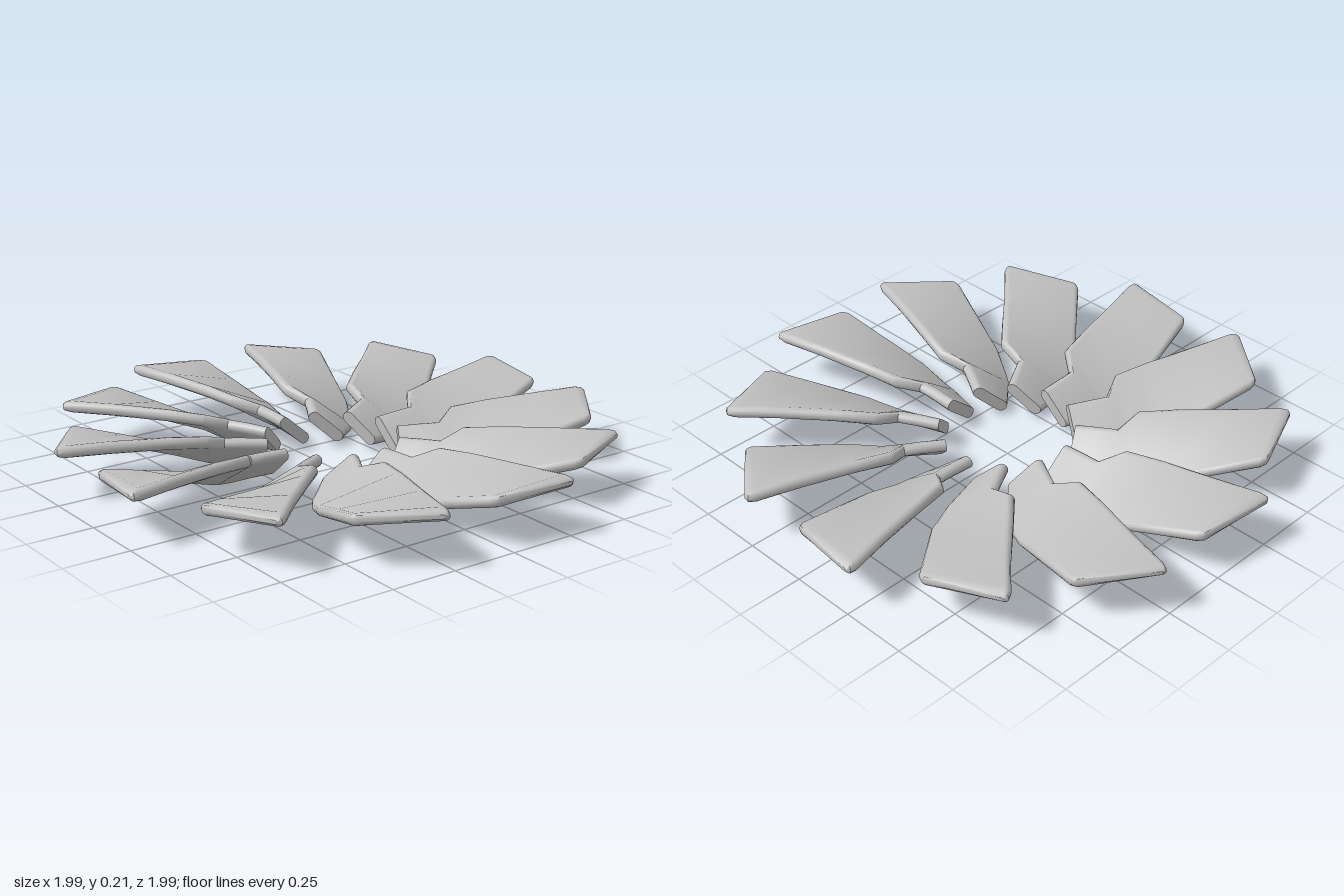
import * as THREE from 'three';
import { toCreasedNormals } from 'three/addons/utils/BufferGeometryUtils.js';

// Stations from root to tip: leading edge x,y,z, trailing edge x,y,z, half thickness
const STATIONS = [
  [0.245, 0.145, -0.062, 0.245, 0.04, 0.06, 0.022],
  [0.33, 0.15, -0.062, 0.33, 0.032, 0.087, 0.022],
  [0.40, 0.152, -0.063, 0.40, 0.022, 0.112, 0.022],
  [0.46, 0.185, -0.144, 0.45, 0.026, 0.118, 0.022],
  [0.60, 0.195, -0.178, 0.58, 0.066, 0.117, 0.022],
  [0.80, 0.199, -0.223, 0.77, 0.126, 0.082, 0.022],
  [0.96, 0.2, -0.265, 0.93, 0.176, 0.052, 0.022],
  [0.987, 0.2, -0.265, 0.95, 0.181, 0.04, 0.017],
  [0.997, 0.2, -0.25, 0.957, 0.183, 0.025, 0.007],
];
const ARC = 6; // segments in each rounded edge

// Rounded plank section between the two edges, going over the top first
function section([lx, ly, lz, tx, ty, tz, h]) {
  const lead = new THREE.Vector3(lx, ly, lz);
  const trail = new THREE.Vector3(tx, ty, tz);
  const across = trail.clone().sub(lead).normalize();
  const up = new THREE.Vector3(0, across.z, -across.y).normalize();
  const points = [];
  for (const [edge, sign] of [[lead, 1], [trail, -1]]) {
    for (let k = 0; k <= ARC; k++) {
      const a = -Math.PI / 2 + (Math.PI * k) / ARC;
      points.push(edge.clone()
        .addScaledVector(across, sign * h * (1 - Math.cos(a)))
        .addScaledVector(up, sign * h * Math.sin(a)));
    }
  }
  return points;
}

// Skin the sections and close both ends
function bladeGeometry() {
  const rings = STATIONS.map(section);
  const n = rings[0].length;
  const last = (rings.length - 1) * n;
  const index = [];
  for (let i = 0; i < rings.length - 1; i++) {
    for (let j = 0; j < n; j++) {
      const a = i * n + j, b = i * n + ((j + 1) % n);
      index.push(a, b, a + n, b, b + n, a + n);
    }
  }
  for (let j = 1; j < n - 1; j++) {
    index.push(0, j + 1, j, last, last + j, last + j + 1);
  }
  const geometry = new THREE.BufferGeometry().setFromPoints(rings.flat());
  geometry.setIndex(index);
  return toCreasedNormals(geometry, 0.75);
}

export function createModel() {
  const model = new THREE.Group();
  model.name = 'fanBladeRing';
  const grey = new THREE.MeshStandardMaterial({ color: 0xc0c0c0 });
  grey.name = 'plain grey';
  const geometry = bladeGeometry();

  // Twelve equal blades around the open centre
  for (let i = 0; i < 12; i++) {
    const blade = new THREE.Mesh(geometry, grey);
    blade.name = `blade${i + 1}`;
    blade.rotation.y = (i * Math.PI) / 6;
    model.add(blade);
  }
  return model;
}
